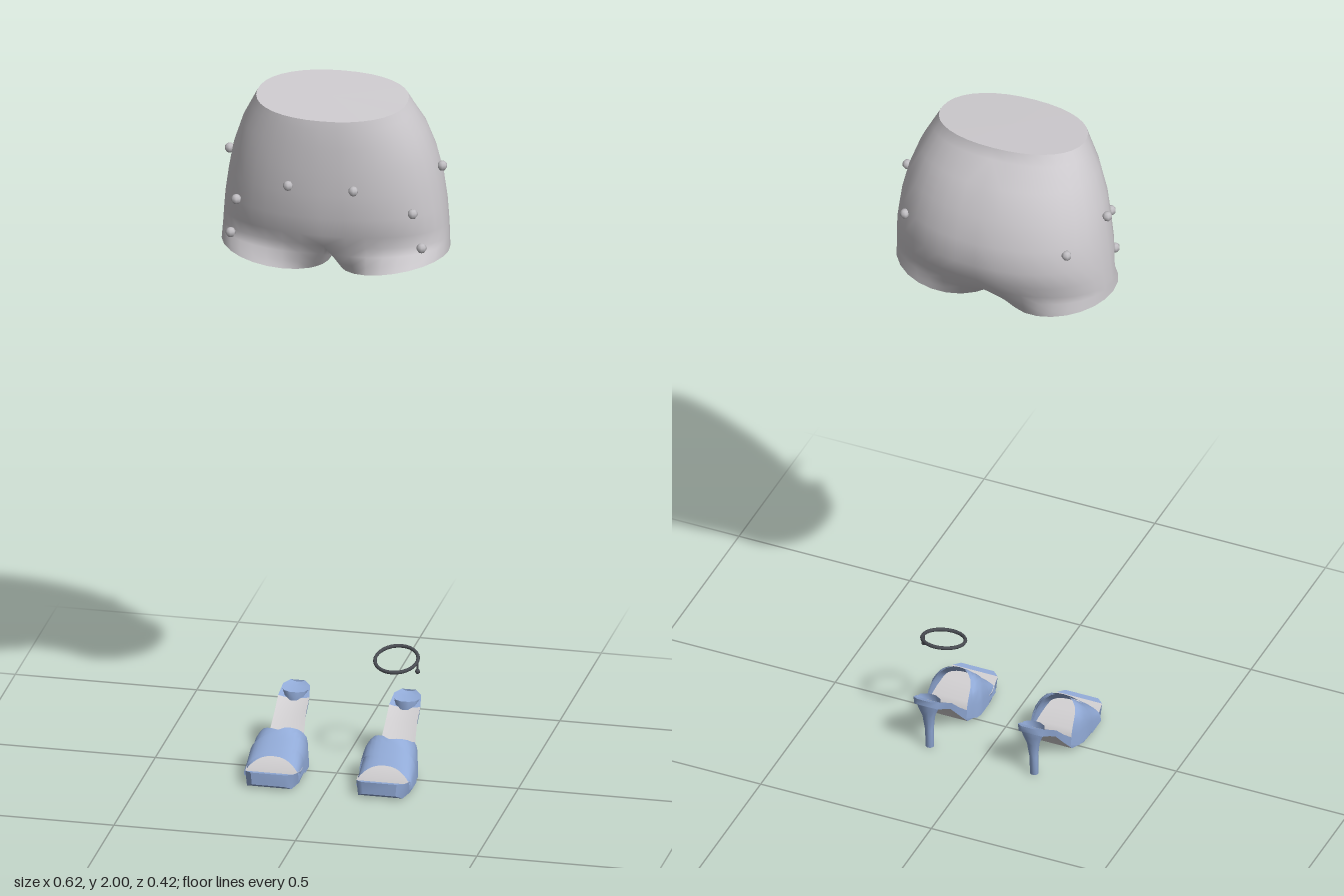
import * as THREE from 'three';
import { mergeGeometries, mergeVertices } from 'three/addons/utils/BufferGeometryUtils.js';

const mat = (name, color) => {
  const m = new THREE.MeshStandardMaterial({ color, side: THREE.DoubleSide });
  m.name = name;
  return m;
};

// Surface through rows of [x, y, z] points
function skin(rows, closed = false) {
  const n = rows[0].length, idx = [];
  const cols = closed ? n : n - 1;
  for (let r = 0; r < rows.length - 1; r++) {
    for (let c = 0; c < cols; c++) {
      const a = r * n + c, b = r * n + (c + 1) % n;
      idx.push(a, a + n, b, b, a + n, b + n);
    }
  }
  const g = new THREE.BufferGeometry();
  g.setAttribute('position', new THREE.Float32BufferAttribute(rows.flat(2), 3));
  g.setIndex(idx);
  g.computeVertexNormals();
  return g;
}

function add(group, name, geometry, material) {
  const m = new THREE.Mesh(geometry, material);
  m.name = name;
  group.add(m);
  return m;
}

function mirrored(g) {
  const m = g.clone().scale(-1, 1, 1);
  const i = m.index.array;
  for (let k = 0; k < i.length; k += 3) [i[k], i[k + 1]] = [i[k + 1], i[k]];
  return m;
}

const lerp = THREE.MathUtils.lerp;
const spow = (v, p) => Math.sign(v) * Math.abs(v) ** p;

function makeShorts(cloth, metal) {
  const group = new THREE.Group();
  group.name = 'shorts';
  const N = 18, M = 8;
  // front y, back y, half width, front z, back z
  const levels = [
    [1.965, 2.0, 0.207, 0.197, -0.09],
    [1.94, 1.968, 0.222, 0.2, -0.1],
    [1.89, 1.91, 0.25, 0.202, -0.148],
    [1.82, 1.83, 0.276, 0.201, -0.182],
    [1.75, 1.755, 0.291, 0.198, -0.205],
    [1.68, 1.685, 0.301, 0.19, -0.21],
    [1.625, 1.63, 0.306, 0.176, -0.196],
    [1.59, 1.59, 0.309, 0.16, -0.175],
  ];
  const torso = levels.map(([yf, yb, w, zf, zb], r) => {
    const zc = lerp(0.05, 0.005, Math.min(1, r / 4));
    const row = [];
    for (let i = 0; i <= N; i++) {
      const a = i / N * Math.PI, c = spow(Math.cos(a), 0.92);
      const z = zc + c * (c > 0 ? zf - zc : zc - zb);
      const x = i === 0 || i === N ? 0 : w * Math.sin(a) ** 0.92;
      row.push([x, lerp(yb, yf, (c + 1) / 2), z]);
    }
    return row;
  });
  // Leg rows: the hip arc closed by the crotch curve, easing to the hem
  const start = [...torso[torso.length - 1]];
  const hem = [];
  const hemPoint = (deg) => {
    const a = deg * Math.PI / 180, x = 0.163 + 0.148 * Math.sin(a);
    hem.push([x, 1.497 + (x - 0.015) * 0.165, 0.01 + 0.155 * Math.cos(a)]);
  };
  for (let i = 0; i <= N; i++) hemPoint(-50 + 280 * i / N);
  for (let j = 1; j < M; j++) {
    const s = -1 + 2 * j / M;
    start.push([0, 1.522 + 0.068 * Math.abs(s) ** 1.6, -0.0075 + 0.1675 * s]);
    hemPoint(230 + 80 * j / M);
  }
  const leg = [0, 0.35, 0.7, 1].map(t =>
    start.map((p, i) => p.map((v, k) => lerp(v, hem[i][k], t))));
  const halves = [skin(torso), skin(leg, true)];
  const shell = mergeGeometries([...halves, ...halves.map(mirrored)]);
  shell.deleteAttribute('normal');
  const body = mergeVertices(shell, 1e-4);
  body.computeVertexNormals();
  add(group, 'shortsShell', body, cloth);

  // Closed waist
  const edge = [...torso[0], ...torso[0].slice(1, -1).reverse().map(([x, y, z]) => [-x, y, z])];
  add(group, 'waistPanel', skin([edge, edge.map(() => [0, 1.983, 0.053])], true), cloth);

  // Studs, mirrored left and right
  const studs = [[0.09, 1.77, 0.196], [0.243, 1.7, 0.15], [0.263, 1.595, 0.13],
    [0.293, 1.79, 0.01], [0.237, 1.74, -0.135]];
  for (const [x, y, z] of studs) {
    for (const s of [1, -1]) {
      add(group, 'stud', new THREE.SphereGeometry(0.014, 7, 5), metal).position.set(s * x, y, z);
    }
  }
  return group;
}

function makeShoe(leather, lining) {
  const shoe = new THREE.Group();
  // z, top y, bottom y, half width
  const st = [
    [0.16, 0.048, 0.014, 0.048], [0.145, 0.046, 0.004, 0.066], [0.09, 0.036, 0.002, 0.075],
    [0.02, 0.035, 0.002, 0.071], [-0.03, 0.047, 0.012, 0.058], [-0.07, 0.083, 0.058, 0.047],
    [-0.11, 0.123, 0.102, 0.043], [-0.15, 0.152, 0.13, 0.043], [-0.185, 0.173, 0.15, 0.037],
    [-0.2, 0.18, 0.162, 0.02],
  ];
  const top = st.map(([z, t, , w]) => [-1, -0.6, 0, 0.6, 1].map(k =>
    [k * w, t - (z < -0.05 ? 0.006 * (1 - k * k) : 0), z]));
  const bottom = st.map(([z, , b, w]) => [[w * 0.93, b, z], [-w * 0.93, b, z]]);
  add(shoe, 'toePad', skin(top.slice(0, 2)), leather);
  add(shoe, 'insole', skin(top.slice(1, 8)), lining);
  add(shoe, 'heelPad', skin(top.slice(7)), leather);
  add(shoe, 'outsole', skin(bottom.slice(0, 5)), leather);
  add(shoe, 'archUnderside', skin(bottom.slice(4, 8)), lining);
  add(shoe, 'heelSeat', skin(bottom.slice(7)), leather);
  // Rim all the way round the sole
  const right = st.map(([z, t, b, w]) => [[w, t, z], [w * 0.93, b, z]]);
  const left = st.map(([z, t, b, w]) => [[-w, t, z], [-w * 0.93, b, z]]).reverse();
  add(shoe, 'soleRim', skin([...right, ...left, right[0]]), leather);

  // Arched upper: e runs from -1 to 1 across the foot
  const arch = (front, back, lift) => {
    const rows = [];
    for (let r = 0; r <= 5; r++) {
      const row = [];
      for (let i = 0; i <= 16; i++) {
        const a = (i / 16 - 0.5) * Math.PI, e = Math.sin(a);
        const z = lerp(front(e), back(e), r / 5);
        const crown = THREE.MathUtils.clamp(0.13 - (z - 0.035) * 0.95, 0.06, 0.132);
        const w = (z < 0 ? 0.071 + z * 0.25 : 0.074) + lift;
        const base = z < -0.02 ? 0.035 : 0.016;
        row.push([w * spow(e, 0.85), base + (crown + lift - base) * Math.cos(a) ** 0.65, z]);
      }
      rows.push(row);
    }
    return skin(rows);
  };
  add(shoe, 'vamp', arch(e => 0.094 + 0.02 * e * e, e => 0.037 - 0.085 * e * e, 0), leather);
  add(shoe, 'crossStrap', arch(e => 0.085 + 0.025 * e, e => 0.04 + 0.04 * e - 0.03 * e * e, 0.004), leather);

  // Slim heel swept from seat to tip: y, z, half width, half depth
  const heel = [[0.165, -0.172, 0.036, 0.027], [0.14, -0.168, 0.029, 0.026], [0.11, -0.166, 0.018, 0.017],
    [0.06, -0.162, 0.012, 0.012], [0.003, -0.16, 0.012, 0.011], [0.003, -0.16, 0, 0]];
  add(shoe, 'heel', skin(heel.map(([y, z, w, d]) => Array.from({ length: 10 }, (_, i) => {
    const a = i / 10 * Math.PI * 2;
    return [w * Math.cos(a), y, z - d * Math.sin(a)];
  })), true), leather);
  return shoe;
}

function makeAnklet(metal) {
  const anklet = new THREE.Group();
  anklet.name = 'anklet';
  const band = add(anklet, 'ankletBand', new THREE.TorusGeometry(0.058, 0.005, 6, 28), metal);
  band.geometry.rotateX(Math.PI / 2).scale(1, 1, 1.08);
  band.rotation.x = 0.24;
  // Hanging charm
  add(anklet, 'charmLink', new THREE.CylinderGeometry(0.003, 0.003, 0.026, 6), metal).position.set(0.058, -0.014, 0);
  add(anklet, 'charm', new THREE.SphereGeometry(0.007, 8, 6), metal).position.set(0.058, -0.03, 0);
  anklet.position.set(0.145, 0.311, -0.085);
  return anklet;
}

export function createModel() {
  const cloth = mat('pale grey cloth', 0xcfccd0);
  const steel = mat('stud grey', 0xc0bec2);
  const leather = mat('blue leather', 0x92abd8);
  const lining = mat('light lining', 0xd2d0d2);
  const dark = mat('dark metal', 0x4a4d53);

  const model = new THREE.Group();
  model.name = 'outfit';
  model.add(makeShorts(cloth, steel));
  for (const s of [1, -1]) {
    const shoe = makeShoe(leather, lining);
    shoe.name = s > 0 ? 'leftShoe' : 'rightShoe';
    shoe.scale.x = s;
    shoe.position.x = s * 0.153;
    model.add(shoe);
  }
  model.add(makeAnklet(dark));
  return model;
}
